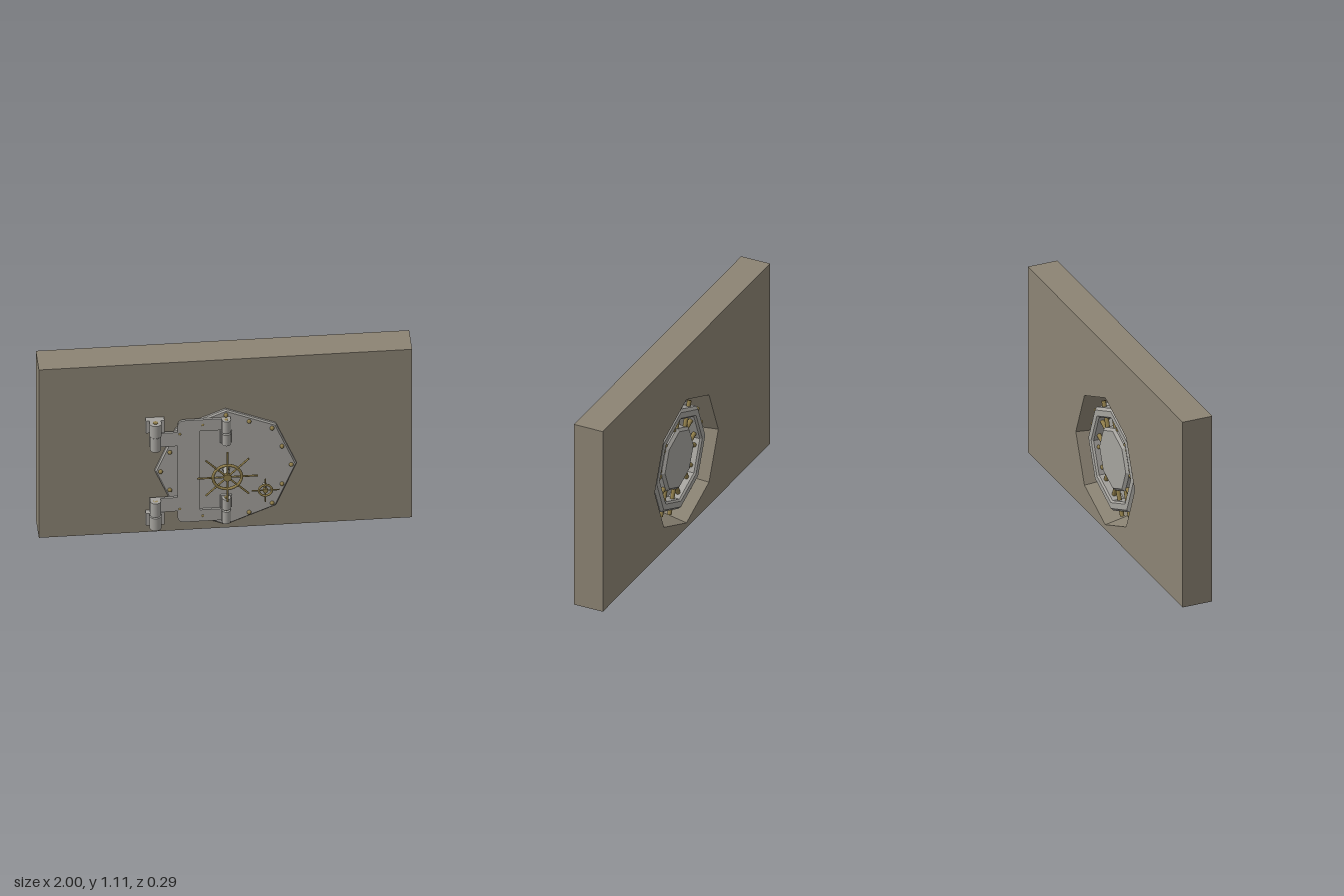
import * as THREE from 'three';

const CY = 0.41; // height of the door centre
const mat = (color, opts = {}) => {
  const m = new THREE.MeshStandardMaterial({ color, ...opts });
  return m;
};
const stone = mat(0x8c8474, { flatShading: true });
const steelFlat = mat(0xa5a39e, { flatShading: true });
const steel = mat(0xa5a39e);
const brass = mat(0x8f7d4a);

function add(parent, name, geo, material, x = 0, y = 0, z = 0) {
  const m = new THREE.Mesh(geo, material);
  m.name = name;
  m.position.set(x, y, z);
  parent.add(m);
  return m;
}
const box = (w, h, d) => new THREE.BoxGeometry(w, h, d);
const cyl = (r, h, n = 20) => new THREE.CylinderGeometry(r, r, h, n);

// Wall with an octagonal opening that widens towards the back
function makeWall(parent) {
  const s = new THREE.Shape();
  s.moveTo(-1, 0).lineTo(1, 0).lineTo(1, 1.11).lineTo(-1, 1.11).closePath();
  const hole = new THREE.Path();
  for (let i = 0; i < 8; i++) {
    const a = -i * Math.PI / 4;
    hole[i ? 'lineTo' : 'moveTo'](0.38 * Math.cos(a), CY + 0.38 * Math.sin(a));
  }
  hole.closePath();
  s.holes.push(hole);
  const g = new THREE.ExtrudeGeometry(s, { depth: 0.173, bevelEnabled: false });
  const p = g.attributes.position;
  for (let i = 0; i < p.count; i++) {
    const x = p.getX(i), y = p.getY(i) - CY;
    if (Math.hypot(x, y) < 0.4 && p.getZ(i) > 0.1) p.setXY(i, x * 0.91, CY + y * 0.91);
  }
  g.computeVertexNormals();
  add(parent, 'wall', g, stone, 0, 0, -0.143);
}

// Eight-sided stepped door with a grooved back; radius, depth
function makeDoor(parent) {
  const profile = [
    [0, -0.1], [0.17, -0.1], [0.185, -0.085], [0.185, -0.035], [0.245, -0.035],
    [0.245, -0.1], [0.255, -0.11], [0.29, -0.11], [0.305, -0.095], [0.305, -0.05],
    [0.32, -0.04], [0.32, -0.015], [0.335, -0.005], [0.335, 0.031],
    [0.38, 0.031], [0.38, 0.042], [0.372, 0.05], [0, 0.05],
  ].map(([r, z]) => new THREE.Vector2(r, z));
  const g = new THREE.LatheGeometry(profile, 8);
  g.rotateX(Math.PI / 2);
  add(parent, 'doorSlab', g, steelFlat, 0, CY, 0);

  // Locking bolts, two per side, passing through the rear rim
  for (let i = 0; i < 8; i++) {
    const side = new THREE.Group();
    side.name = 'lockingBolts';
    side.position.set(0, CY, -0.075);
    side.rotation.z = (i + 0.5) * Math.PI / 4;
    parent.add(side);
    for (const dx of [-0.055, 0.055]) add(side, 'lockingBolt', cyl(0.012, 0.155, 12), brass, dx, 0.237, 0);
  }

  // Rivets at the corners and side middles
  for (let i = 0; i < 16; i++) {
    const a = i * Math.PI / 8, r = i % 2 ? 0.325 : 0.35;
    add(parent, 'rivet', new THREE.SphereGeometry(0.012, 12, 8), brass,
      r * Math.cos(a), CY + r * Math.sin(a), 0.054);
  }
}

// C-shaped carrying frame with two arms reaching to the wall hinges
function makeFrame(parent) {
  const s = new THREE.Shape();
  s.moveTo(0.02, 0.335).lineTo(-0.22, 0.335).quadraticCurveTo(-0.26, 0.335, -0.26, 0.295)
    .lineTo(-0.26, 0.26).lineTo(-0.38, 0.26).lineTo(-0.38, 0.17).lineTo(-0.26, 0.17)
    .lineTo(-0.26, -0.17).lineTo(-0.38, -0.17).lineTo(-0.38, -0.26).lineTo(-0.26, -0.26)
    .lineTo(-0.26, -0.295).quadraticCurveTo(-0.26, -0.335, -0.22, -0.335)
    .lineTo(0.02, -0.335).lineTo(0.02, -0.26).lineTo(-0.14, -0.26)
    .lineTo(-0.14, 0.26).lineTo(0.02, 0.26).closePath();
  const g = new THREE.ExtrudeGeometry(s, { depth: 0.013, bevelEnabled: false, curveSegments: 6 });
  add(parent, 'hingeFrame', g, steel, 0, CY, 0.05);
}

// Knuckle: a barrel on a block that reaches back to its mounting
function knuckle(parent, name, r, w, h, y, axisZ, backZ) {
  add(parent, name + 'Barrel', cyl(r, h), steel, 0, y, axisZ);
  add(parent, name + 'Block', box(w, h, axisZ - backZ), steel, 0, y, (axisZ + backZ) / 2);
}

function makeHinges(parent) {
  for (const s of [1, -1]) {
    // Hinge on the wall
    const wallHinge = new THREE.Group();
    wallHinge.name = 'wallHinge';
    wallHinge.position.set(-0.38, CY, 0);
    parent.add(wallHinge);
    knuckle(wallHinge, 'wallKnuckle', 0.033, 0.06, 0.08, s * 0.305, 0.083, 0.03);
    add(wallHinge, 'wallPlate', box(0.1, 0.08, 0.032), steel, 0, s * 0.305, 0.046);
    knuckle(wallHinge, 'armKnuckle', 0.029, 0.056, 0.09, s * 0.215, 0.083, 0.05);
    add(wallHinge, 'hingePin', cyl(0.013, 0.178), brass, 0, s * 0.259, 0.083);

    // Hinge in the middle of the door
    const doorHinge = new THREE.Group();
    doorHinge.name = 'doorHinge';
    doorHinge.position.set(0, CY, 0);
    parent.add(doorHinge);
    knuckle(doorHinge, 'frameKnuckle', 0.024, 0.048, 0.078, s * 0.298, 0.076, 0.05);
    knuckle(doorHinge, 'doorKnuckle', 0.024, 0.048, 0.07, s * 0.213, 0.076, 0.05);
    add(doorHinge, 'doorHingeFoot', box(0.062, 0.078, 0.012), steel, 0, s * 0.213, 0.056);
    add(doorHinge, 'hingePin', cyl(0.01, 0.165), brass, 0, s * 0.256, 0.076);
  }
}

// Spoked hand wheel on a shaft
function handWheel(parent, name, x, y, z, ringR, tube, reach, spokes, hubR, shaftR) {
  const g = new THREE.Group();
  g.name = name;
  g.position.set(x, y, z);
  parent.add(g);
  add(g, 'wheelRing', new THREE.TorusGeometry(ringR, tube, 10, 40), brass);
  add(g, 'wheelHub', cyl(hubR, tube * 2.6), brass).rotation.x = Math.PI / 2;
  const len = z - 0.05;
  add(g, 'wheelShaft', cyl(shaftR, len), steel, 0, 0, -len / 2).rotation.x = Math.PI / 2;
  add(g, 'shaftCollar', cyl(shaftR * 1.4, 0.012), steel, 0, 0, -len + 0.006).rotation.x = Math.PI / 2;
  for (let i = 0; i < spokes; i++) {
    const a = i * 2 * Math.PI / spokes;
    const spoke = add(g, 'spoke', cyl(tube * 0.65, reach, 10), brass,
      -Math.sin(a) * reach / 2, Math.cos(a) * reach / 2, 0);
    spoke.rotation.z = a;
  }
}

export function createModel() {
  const model = new THREE.Group();
  model.name = 'vaultDoor';
  makeWall(model);
  makeDoor(model);
  makeFrame(model);
  makeHinges(model);
  handWheel(model, 'mainWheel', 0, CY, 0.135, 0.077, 0.008, 0.163, 8, 0.022, 0.016);
  handWheel(model, 'smallWheel', 0.207, 0.287, 0.105, 0.035, 0.006, 0.075, 4, 0.014, 0.008);
  return model;
}
